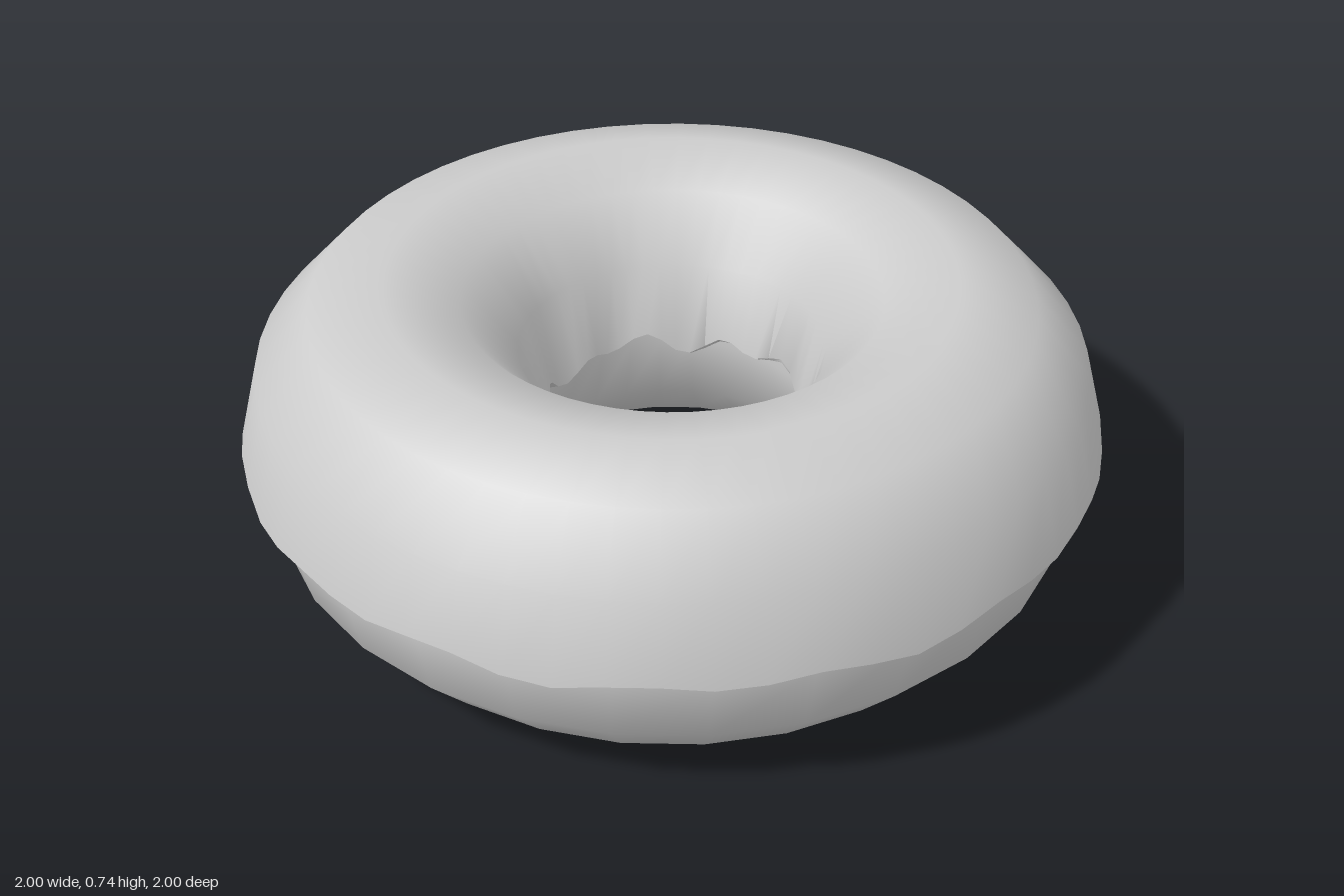
import * as THREE from 'three';
import { toCreasedNormals } from 'three/addons/utils/BufferGeometryUtils.js';

const TAU = Math.PI * 2;

// Sweep a closed counter-clockwise (radius, height) section around the y axis;
// section(t) may vary with the angle t.
function sweepRing(segments, section) {
  const positions = [], index = [];
  const n = section(0).length;
  for (let i = 0; i < segments; i++) {
    const t = (i / segments) * TAU;
    for (const [r, y] of section(t)) positions.push(r * Math.cos(t), y, r * Math.sin(t));
    for (let j = 0; j < n; j++) {
      const i2 = (i + 1) % segments, j2 = (j + 1) % n;
      const a = i * n + j, b = i * n + j2, c = i2 * n + j2, d = i2 * n + j;
      index.push(a, b, d, b, c, d);
    }
  }
  const geometry = new THREE.BufferGeometry();
  geometry.setAttribute('position', new THREE.Float32BufferAttribute(positions, 3));
  geometry.setIndex(index);
  geometry.computeVertexNormals();
  return geometry;
}

const ellipse = (a, cr, cy, rx, ry) => [cr + rx * Math.cos(a), cy + ry * Math.sin(a)];

// Dough: twelve-sided ring
function doughSection() {
  return Array.from({ length: 12 }, (_, j) => ellipse((j / 12) * TAU, 0.65, 0.35, 0.32, 0.35));
}

// Icing: thin shell over the top half with uneven lower edges
function icingSection(t) {
  const outerDrip = 0.011 * Math.sin(15 * t + 0.6) + 0.007 * Math.sin(8 * t + 2);
  const innerDrip = 0.02 * Math.sin(11 * t + 1) + 0.015 * Math.sin(6 * t);
  const innerSwell = 0.008 * Math.sin(9 * t) + 0.012 * Math.cos(t);
  const steps = 6, shell = [], lining = [];
  for (let k = 0; k <= steps; k++) {
    const a = (k / steps) * Math.PI;
    const drip = k === 0 ? outerDrip : k === steps ? innerDrip : 0;
    const swell = k === steps ? innerSwell : 0;
    const [r, y] = ellipse(a, 0.655, 0.36, 0.345, 0.38);
    shell.push([r + swell, y + drip]);
    const [r2, y2] = ellipse(a, 0.65, 0.35, 0.32, 0.35);
    lining.unshift([r2, y2 + drip]);
  }
  return [...shell, ...lining];
}

export function createModel() {
  const group = new THREE.Group();
  group.name = 'donut';
  const material = new THREE.MeshStandardMaterial({ color: 0xcccccc });

  const dough = new THREE.Mesh(sweepRing(28, doughSection), material);
  dough.name = 'dough';

  const icing = new THREE.Mesh(toCreasedNormals(sweepRing(56, icingSection), 0.9), material);
  icing.name = 'icing';

  group.add(dough, icing);
  return group;
}
